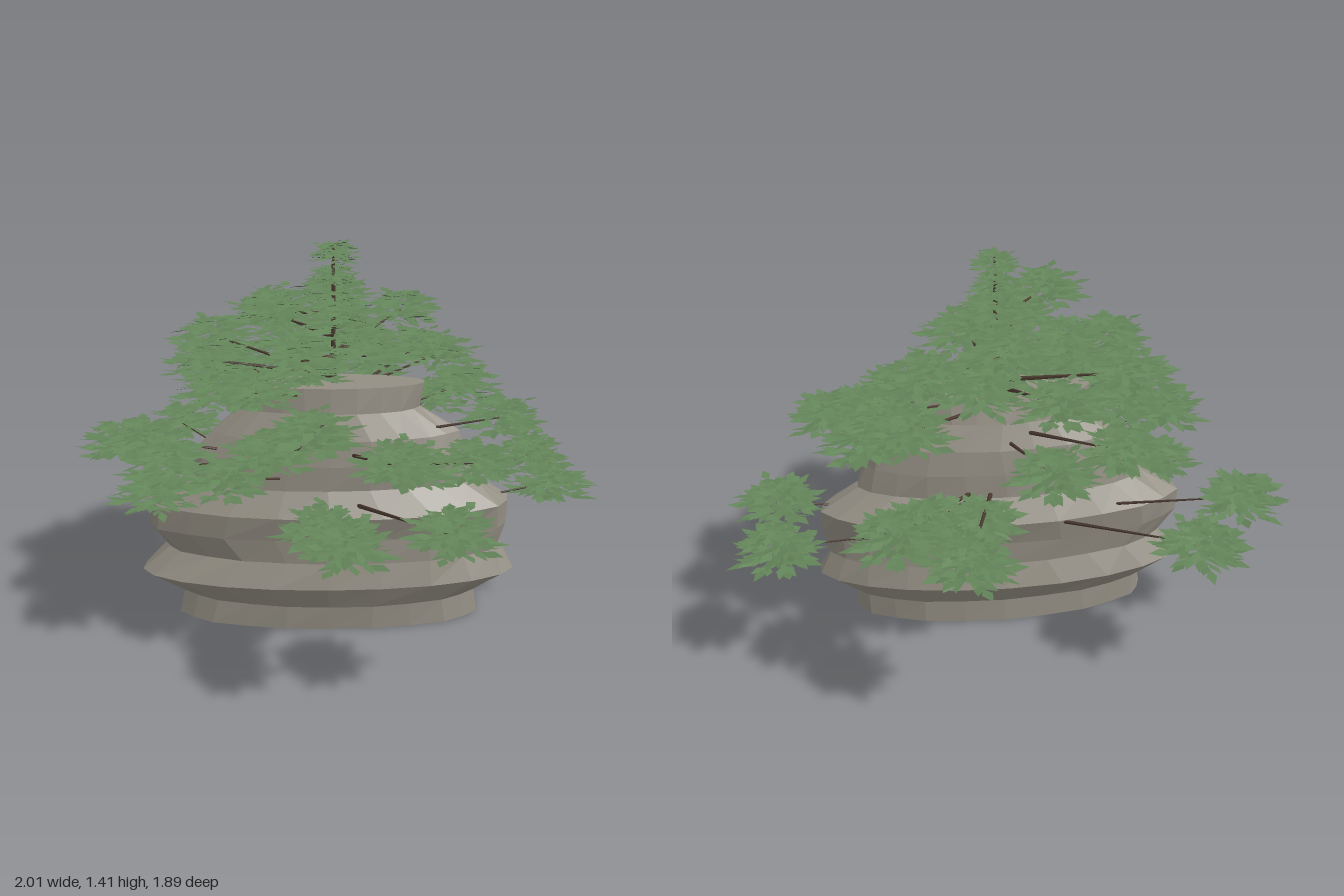
import * as THREE from 'three';

const stone = new THREE.MeshStandardMaterial({ color: 0x938e83, flatShading: true });
stone.name = 'stone grey';
const bark = new THREE.MeshStandardMaterial({ color: 0x4a3a30, flatShading: true });
bark.name = 'bark brown';
const foliage = new THREE.MeshStandardMaterial({ color: 0x638459, flatShading: true, side: THREE.DoubleSide });
foliage.name = 'leaf green';

let seed = 7;
const rand = () => (seed = (seed * 16807) % 2147483647) / 2147483647;
const spread = (a) => (rand() * 2 - 1) * a;

const TRUNK = new THREE.Vector3(0.02, 0, 0.03);

// Layered rock: [left x, right x, back z, front z] for evenly spaced rings
const RINGS = [
  [-0.56, 0.565, -0.15, 0.2], [-0.545, 0.56, -0.15, 0.2], [-0.705, 0.7, -0.205, 0.245],
  [-0.6, 0.655, -0.18, 0.215], [-0.68, 0.67, -0.18, 0.215], [-0.67, 0.685, -0.205, 0.235],
  [-0.535, 0.535, -0.155, 0.185], [-0.5, 0.515, -0.15, 0.185], [-0.425, 0.475, -0.14, 0.17],
  [-0.315, 0.335, -0.105, 0.135], [-0.325, 0.35, -0.08, 0.12],
];

function makeRock() {
  const g = new THREE.CylinderGeometry(1, 1, 0.9, 22, 10);
  const p = g.attributes.position;
  for (let i = 0; i < p.count; i++) {
    const k = Math.round((p.getY(i) + 0.45) / 0.09);
    const [x0, x1, z0, z1] = RINGS[k];
    const a = Math.atan2(p.getZ(i), p.getX(i));
    const rough = 0.995 + 0.024 * Math.sin(7 * a + k * 2.1) * Math.cos(4 * a - k * 1.3);
    p.setXYZ(i,
      (x0 + x1) / 2 + p.getX(i) * rough * (x1 - x0) / 2,
      k * 0.09,
      (z0 + z1) / 2 + p.getZ(i) * rough * (z1 - z0) / 2);
  }
  g.computeVertexNormals();
  const rock = new THREE.Mesh(g, stone);
  rock.name = 'rock';
  return rock;
}

// Tapered stick between two points
function stick(name, a, b, r0, r1) {
  const dir = b.clone().sub(a);
  const m = new THREE.Mesh(new THREE.CylinderGeometry(r1, r0, dir.length(), 6), bark);
  m.position.copy(a).add(b).multiplyScalar(0.5);
  m.quaternion.setFromUnitVectors(new THREE.Vector3(0, 1, 0), dir.normalize());
  m.name = name;
  return m;
}

// Rosette of pointed leaves, radius 1: stacked tiers of fronds, each a fan of leaflets
function makeRosette() {
  const v = [];
  const leaf = (x, y, z, angle, len, wide) => {
    const c = Math.cos(angle), s = Math.sin(angle), tilt = spread(0.2), roll = spread(0.035);
    const at = (along, side, up) => [x + c * along - s * side, y + up, z + s * along + c * side];
    const base = at(0, 0, 0), tip = at(len, 0, len * tilt);
    const l = at(len * 0.45, -wide, len * 0.45 * tilt + roll);
    const r = at(len * 0.45, wide, len * 0.45 * tilt - roll);
    v.push(...base, ...r, ...tip, ...base, ...tip, ...l);
  };
  const tiers = [[1.05, -0.22, 9], [0.98, -0.06, 9], [0.8, 0.1, 8], [0.58, 0.24, 7]];
  tiers.forEach(([radius, y, count], t) => {
    for (let i = 0; i < count; i++) {
      const a = (i + t * 0.3) / count * Math.PI * 2 + spread(0.12);
      const reach = radius * (0.95 + spread(0.09));
      const h = y + spread(0.08);
      for (const [along, fan, len] of [[0.56, 0, 0.44], [0.42, 0.42, 0.42], [0.42, -0.42, 0.42],
        [0.2, 0.3, 0.48], [0.2, -0.3, 0.48], [0, 0, 0.5]]) {
        const d = along * reach;
        leaf(Math.cos(a) * d, h + spread(0.05), Math.sin(a) * d, a + fan, len * reach, 0.1);
      }
    }
  });
  // Leaf corners run anticlockwise seen from above
  const g = new THREE.BufferGeometry();
  g.setAttribute('position', new THREE.Float32BufferAttribute(v, 3));
  const p = g.attributes.position;
  for (let i = 0; i < p.count; i += 3) {
    const [a, b, c] = [0, 1, 2].map((k) => new THREE.Vector3().fromBufferAttribute(p, i + k));
    if (b.clone().sub(a).cross(c.clone().sub(a)).y < 0) {
      p.setXYZ(i + 1, c.x, c.y, c.z);
      p.setXYZ(i + 2, b.x, b.y, b.z);
    }
  }
  g.computeVertexNormals();
  return g;
}

// Leaf pad centres: x, y, z
const PADS = [
  // lowest boughs
  [-0.82, 0.58, -0.29], [-0.6, 0.57, -0.56], [0.81, 0.52, -0.32], [0.82, 0.52, 0],
  [0.05, 0.61, 0.76], [0.38, 0.63, 0.72], [-0.02, 0.56, 0.53], [0.2, 0.7, -0.76],
  [0.42, 0.68, -0.56], [-0.62, 0.53, 0.12], [0.12, 0.56, -0.32], [0.3, 0.62, -0.4],
  // middle boughs
  [0.62, 0.81, 0.1], [0.5, 0.72, 0.33], [-0.53, 0.74, 0.38], [-0.64, 0.74, 0.13],
  [-0.35, 0.65, 0.3], [-0.35, 0.88, -0.45], [-0.1, 0.84, -0.5], [0.42, 0.96, -0.22],
  [-0.05, 0.9, 0.55], [-0.2, 0.79, 0.44], [0.22, 0.75, 0.43], [0.3, 0.67, 0.25],
  [-0.4, 0.9, -0.15], [0.35, 0.95, -0.36], [-0.08, 0.8, 0.3],
  [0.5, 0.84, -0.2], [-0.38, 0.89, 0.07],
  // upper crown
  [-0.42, 1.04, 0.16], [-0.42, 1.04, -0.18], [-0.1, 1.08, 0.34], [-0.25, 0.93, 0.2],
  [0.13, 1.06, 0.2], [0.28, 1.11, -0.3], [0.02, 1.18, -0.28], [0.1, 1.02, -0.24],
  [-0.18, 1.22, 0.2], [-0.2, 1.14, -0.12], [0.05, 1.15, 0.1], [0.14, 1.02, -0.14],
  [-0.08, 0.98, 0.08], [-0.15, 1.0, -0.32],
];

export function createModel() {
  const model = new THREE.Group();
  model.name = 'treeOnRock';
  model.add(makeRock());

  const trunkTop = TRUNK.clone().setY(1.38);
  model.add(stick('trunk', TRUNK.clone(), trunkTop, 0.022, 0.006));

  const rosette = makeRosette();
  const addPad = (x, y, z, r) => {
    const pad = new THREE.Mesh(rosette, foliage);
    pad.position.set(x, y, z);
    pad.scale.set(r, r, r);
    pad.rotation.y = rand() * 6.28;
    pad.name = 'leafPad';
    model.add(pad);
  };

  // Boughs rise gently from the trunk to each leaf pad
  for (const [x, y, z] of PADS) {
    const end = new THREE.Vector3(x, y - 0.02, z);
    const reach = Math.hypot(x - TRUNK.x, z - TRUNK.z);
    const start = TRUNK.clone().setY(y - 0.02 - reach * 0.2);
    model.add(stick('branch', start, end, 0.01, 0.002));
    addPad(x, y, z, 0.177);
  }

  // Small tufts on the leader
  for (const [y, r] of [[1.37, 0.105], [1.29, 0.11], [1.2, 0.14]]) addPad(TRUNK.x, y, TRUNK.z, r);
  return model;
}
